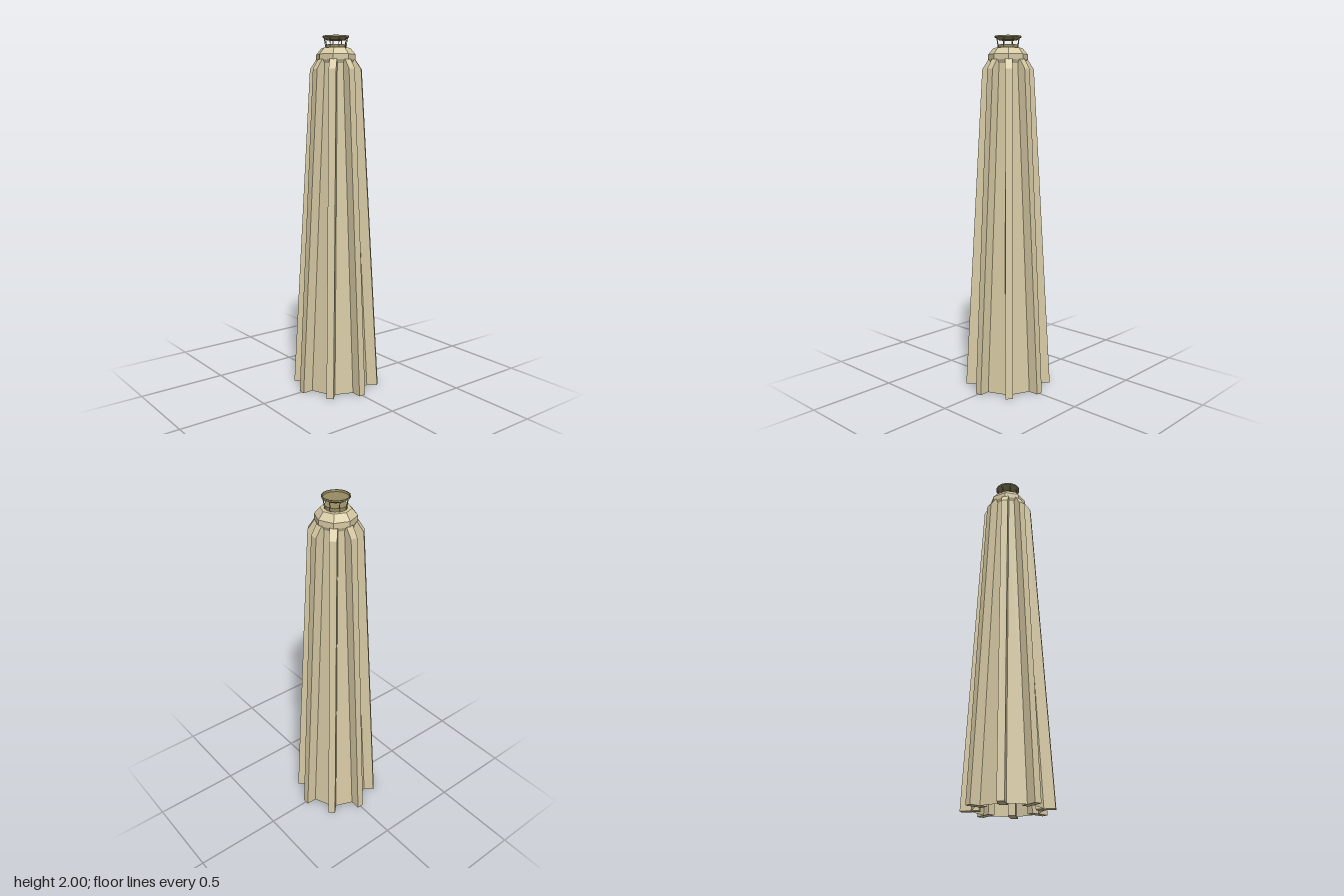
import * as THREE from 'three';

const stone = new THREE.MeshStandardMaterial({ color: 0xd8cba5, flatShading: true, side: THREE.DoubleSide });
stone.name = 'paleStone';
const metal = new THREE.MeshStandardMaterial({ color: 0x968c63, flatShading: true, side: THREE.DoubleSide });
metal.name = 'oliveMetal';

const SIDES = 8;

// Revolve a list of [radius, height] pairs
function lathe(name, profile, sides, material) {
  const points = profile.map(([r, y]) => new THREE.Vector2(r, y));
  const mesh = new THREE.Mesh(new THREE.LatheGeometry(points, sides), material);
  mesh.name = name;
  return mesh;
}

// Straight bar between two points
function bar(name, a, b, radius) {
  const path = new THREE.LineCurve3(a, b);
  const mesh = new THREE.Mesh(new THREE.TubeGeometry(path, 1, radius, 4), metal);
  mesh.name = name;
  return mesh;
}

export function createModel() {
  const tower = new THREE.Group();
  tower.name = 'tower';

  // Tapering octagonal shaft, open at the foot
  tower.add(lathe('shaft', [[0.195, 0], [0.1, 1.85]], SIDES, stone));

  // Recessed floor inside the foot
  tower.add(lathe('floor', [[0, 0.065], [0.18, 0.065]], SIDES, stone));

  // Octagonal crown with sloping shoulders
  tower.add(lathe('crown', [[0.1, 1.85], [0.11, 1.87], [0.11, 1.9], [0.08, 1.935], [0, 1.935]], SIDES, stone));

  // Buttress ribs on the corners of the shaft
  const ribShape = new THREE.Shape([
    [0.145, 0], [0.247, 0], [0.142, 1.82], [0.108, 1.872], [0.07, 1.872],
  ].map(([r, y]) => new THREE.Vector2(r, y)));
  const ribGeometry = new THREE.ExtrudeGeometry(ribShape, { depth: 0.04, bevelEnabled: false });
  ribGeometry.translate(0, 0, -0.02);
  for (let i = 0; i < SIDES; i++) {
    const rib = new THREE.Mesh(ribGeometry, stone);
    rib.name = 'rib';
    rib.rotation.y = (i / SIDES) * Math.PI * 2;
    tower.add(rib);
  }

  // Collar and struts carrying the bowl
  const beacon = new THREE.Group();
  beacon.name = 'beacon';
  beacon.add(lathe('collar', [[0.057, 1.934], [0.057, 1.953], [0, 1.953]], 16, metal));
  for (let i = 0; i < SIDES; i++) {
    const a = ((i + 0.5) / SIDES) * Math.PI * 2;
    const at = (r, y) => new THREE.Vector3(Math.sin(a) * r, y, Math.cos(a) * r);
    beacon.add(bar('strut', at(0.057, 1.935), at(0.066, 1.99), 0.003));
  }

  // Shallow bowl with a raised rim
  beacon.add(lathe('bowl', [
    [0, 1.978], [0.05, 1.978], [0.073, 1.992], [0.073, 2], [0.068, 2], [0.066, 1.99], [0, 1.988],
  ], 16, metal));
  tower.add(beacon);

  return tower;
}
